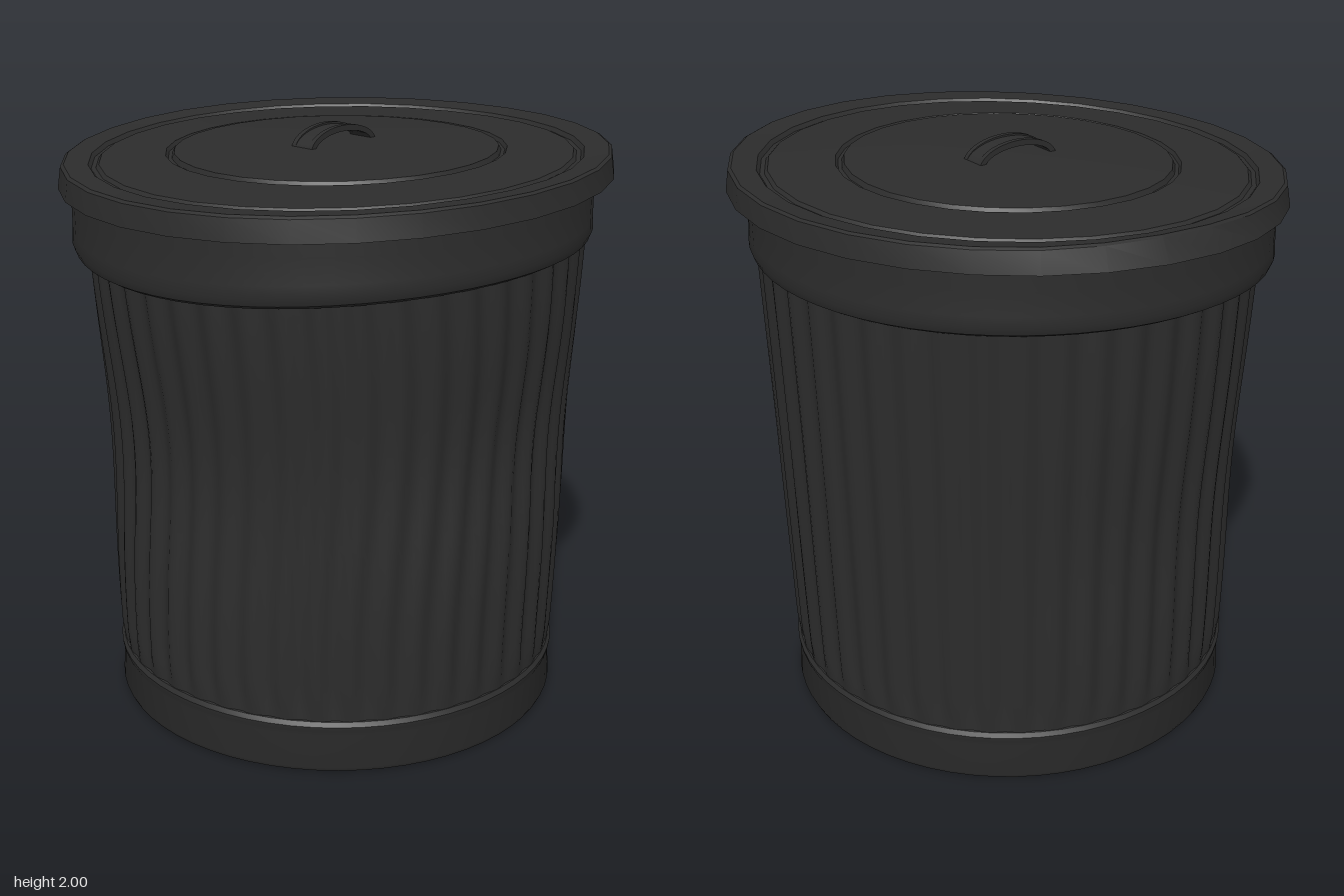
import * as THREE from 'three';
import { mergeVertices, toCreasedNormals } from 'three/addons/utils/BufferGeometryUtils.js';

const metal = new THREE.MeshStandardMaterial({ color: 0x2c2c2c, side: THREE.DoubleSide });
const bump = (t, width) => Math.exp(-((t / width) ** 2));
// 1 at the front, 0 at the back
const frontness = (a) => (1 + Math.cos(a)) / 2;
// smallest signed difference between two angles (0 = front, PI/2 = +x)
const turn = (a, b) => Math.atan2(Math.sin(a - b), Math.cos(a - b));

// Revolves [radius, y] points, then lets warp(angle, r, y) return a new [r, y]
function turned(name, profile, segments, warp, crease = 0.6) {
  const points = profile.map(([r, y]) => new THREE.Vector2(r, y));
  let geo = new THREE.LatheGeometry(points, segments);
  const pos = geo.attributes.position;
  for (let i = 0; i < pos.count; i++) {
    const x = pos.getX(i), z = pos.getZ(i);
    const a = Math.atan2(x, z);
    const [r, y] = warp(a, Math.hypot(x, z), pos.getY(i));
    pos.setXYZ(i, r * Math.sin(a), y, r * Math.cos(a));
  }
  geo.deleteAttribute('uv');
  geo.deleteAttribute('normal');
  geo = mergeVertices(geo, 1e-5);
  geo.computeVertexNormals();
  const mesh = new THREE.Mesh(toCreasedNormals(geo, crease), metal);
  mesh.name = name;
  return mesh;
}

// Fluted, dented wall
function makeWall() {
  const rows = 28, ribs = 44;
  const profile = [];
  for (let i = 0; i <= rows; i++) {
    const t = i / rows;
    profile.push([0.77 + 0.062 * t, 0.15 + 1.53 * t]);
  }
  return turned('flutedWall', profile, ribs * 6, (a, r, y) => {
    const fade = THREE.MathUtils.smoothstep(y, 0.15, 0.27);
    const sway = 0.03 * Math.sin(y * 4) * bump(turn(a, 1.2), 1.2);
    let out = r + 0.01 * fade * Math.cos(ribs * (a + sway));
    out -= 0.055 * bump(turn(a, 0), 0.7) * bump(y - 1.0, 0.42);
    out -= 0.035 * bump(turn(a, Math.PI / 2), 0.6) * bump(y - 1.05, 0.32);
    out -= 0.02 * bump(turn(a, -Math.PI / 2), 0.6) * bump(y - 0.85, 0.35);
    return [out, y];
  }, 1.0);
}

// Low band around the foot, closed underneath
function makeBase() {
  const profile = [
    [0, 0.012], [0.74, 0.012], [0.775, 0], [0.782, 0.015], [0.774, 0.13],
    [0.782, 0.15], [0.784, 0.165], [0.775, 0.18], [0.76, 0.185],
  ];
  return turned('baseBand', profile, 64, (a, r, y) => [r, y + 0.006 * frontness(a) * (r > 0 ? 1 : 0)]);
}

// Tall collar under the lid, sagging at the front
function makeCollar() {
  const profile = [
    [0.815, 1.66], [0.845, 1.648], [0.866, 1.66], [0.876, 1.685],
    [0.873, 1.72], [0.873, 1.8], [0.874, 1.89],
  ];
  const collar = turned('collar', profile, 64, (a, r, y) => {
    const low = THREE.MathUtils.clamp((1.89 - y) / 0.2, 0, 1);
    return [r, y - 0.063 * frontness(a) ** 3 * low - 0.03 * frontness(a) * (1 - low)];
  });
  collar.position.set(-0.01, 0, 0.008);
  return collar;
}

// Bent lid with a stepped top
function makeLid() {
  const profile = [
    [0.85, 1.885], [0.895, 1.872], [0.926, 1.872], [0.916, 1.942], [0.905, 1.948],
    [0.825, 1.936], [0.815, 1.922], [0.8, 1.922], [0.79, 1.932], [0.57, 1.934],
    [0.562, 1.922], [0.55, 1.922], [0.542, 1.938], [0.3, 1.942], [0, 1.942],
  ];
  return turned('lid', profile, 30, (a, r, y) => {
    const reach = (r / 0.926) ** 2;
    const dip = 0.066 * frontness(a) ** 1.5 * reach;
    const bent = bump(turn(a, -Math.PI / 2), 0.45) * THREE.MathUtils.smoothstep(r, 0.84, 0.92);
    const lip = y > 1.9 ? -0.02 : 0.012;
    return [r + bent * lip, y - dip + 0.006 * bent];
  }, 0.5);
}

// Arched strap handle with raised edges
function archStrip(name, outer, inner, width, x) {
  const shape = new THREE.Shape();
  shape.absellipse(0, 0, 0.153, outer, 0, Math.PI, false, 0);
  shape.lineTo(-0.133, 0);
  shape.absellipse(0, 0, 0.133, inner, Math.PI, 0, true, 0);
  shape.closePath();
  const geo = new THREE.ExtrudeGeometry(shape, { depth: width, bevelEnabled: false, curveSegments: 20 });
  geo.translate(0, 0, -width / 2);
  geo.rotateY(Math.PI / 2);
  const mesh = new THREE.Mesh(toCreasedNormals(geo, 0.6), metal);
  mesh.name = name;
  mesh.position.x = x;
  return mesh;
}

function makeHandle() {
  const handle = new THREE.Group();
  handle.name = 'handle';
  handle.add(archStrip('handleStrap', 0.066, 0.054, 0.09, 0));
  for (const side of [-1, 1]) handle.add(archStrip('handleEdge', 0.072, 0.052, 0.018, side * 0.038));
  handle.position.set(-0.015, 1.928, -0.005);
  return handle;
}

export function createModel() {
  const can = new THREE.Group();
  can.name = 'trashCan';
  can.add(makeBase(), makeWall(), makeCollar(), makeLid(), makeHandle());
  return can;
}
